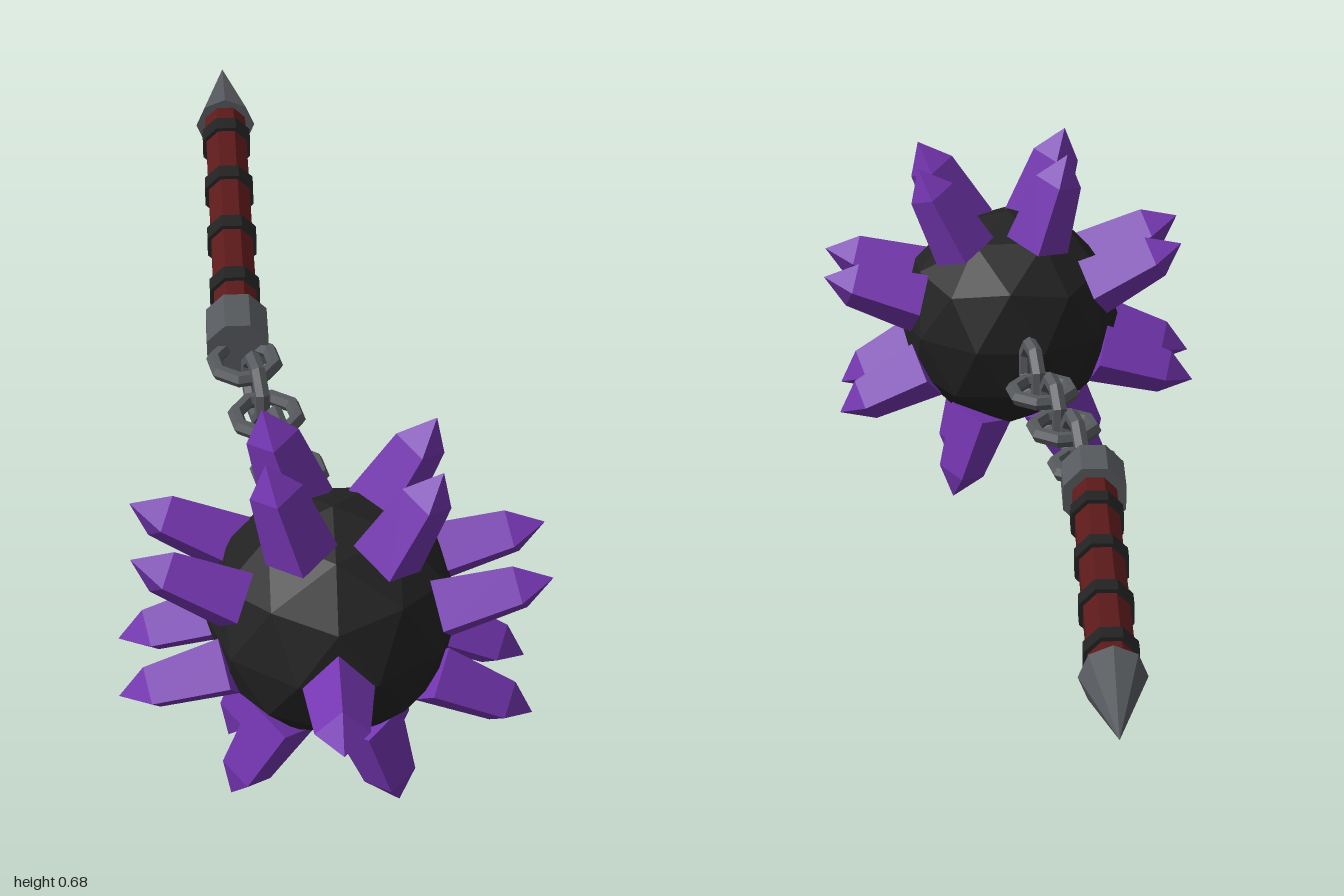
import * as THREE from 'three';

export function createModel() {
  const mat = (name, color) => {
    const m = new THREE.MeshStandardMaterial({ color, flatShading: true });
    m.name = name;
    return m;
  };
  const purple = mat('crystal purple', 0x7536b2);
  const black = mat('iron black', 0x222222);
  const red = mat('grip red', 0x5c1a1a);
  const steel = mat('steel grey', 0x56595d);

  const model = new THREE.Group();
  model.name = 'crystalFlail';
  const add = (name, geometry, material, x, y, z, parent = model) => {
    const mesh = new THREE.Mesh(geometry, material);
    mesh.name = name;
    mesh.position.set(x, y, z);
    parent.add(mesh);
    return mesh;
  };

  const Y = 0.34;

  // Head: faceted ball with a vertex at the top and bottom
  const head = new THREE.Group();
  head.name = 'head';
  head.position.set(0, Y, 0.645);
  model.add(head);
  const ball = new THREE.IcosahedronGeometry(0.202, 1);
  ball.rotateX(-Math.atan((1 + Math.sqrt(5)) / 2));
  add('ball', ball, black, 0, 0, 0, head);

  // Crystal spikes: two rings of eight and one at the front
  const spike = new THREE.LatheGeometry(
    [[0, 0.172], [0.058, 0.172], [0.0425, 0.3], [0, 0.354]].map(p => new THREE.Vector2(...p)), 4);
  for (const z of [-0.071, 0.071]) {
    for (let i = 0; i < 8; i++) {
      add('ringSpike', spike, purple, 0, 0, z, head).rotation.z = 0.302 + i * Math.PI / 4 - Math.PI / 2;
    }
  }
  add('frontSpike', spike, purple, 0, 0, 0, head).rotation.x = Math.PI / 2;

  // Handle: eight-sided parts along z, from the pommel point to the ferrule
  const X = -0.125;
  const rod = (name, material, z0, z1, r0, r1, turn = 0) => {
    const g = new THREE.CylinderGeometry(r1, r0, z1 - z0, 8);
    g.rotateY(turn);
    g.rotateX(Math.PI / 2);
    add(name, g, material, X, Y, (z0 + z1) / 2);
  };
  rod('pommelPoint', steel, -1, -0.8, 0, 0.054);
  rod('grip', red, -0.8, -0.16, 0.04, 0.04, Math.PI / 8);
  rod('ferrule', steel, -0.16, -0.064, 0.057, 0.057, Math.PI / 8);
  for (let i = 0; i < 4; i++) {
    const z = -0.736 + i * 0.1643;
    rod('gripBand', black, z - 0.018, z + 0.018, 0.047, 0.047, Math.PI / 8);
  }

  // Chain: links alternate flat and upright, drifting towards the head
  const link = new THREE.TorusGeometry(0.053, 0.0135, 6, 8);
  link.rotateZ(Math.PI / 8);
  const drift = Math.atan(0.2);
  for (let i = 0; i < 6; i++) {
    const z = -0.032 + i * 0.0792;
    const m = add('chainLink', link, steel, -0.115 + i * 0.0158, Y, z);
    m.rotation.order = 'YXZ';
    m.rotation.y = drift + (i % 2 ? Math.PI / 2 : 0);
    if (i % 2 === 0) m.rotation.x = Math.PI / 2;
  }
  return model;
}
